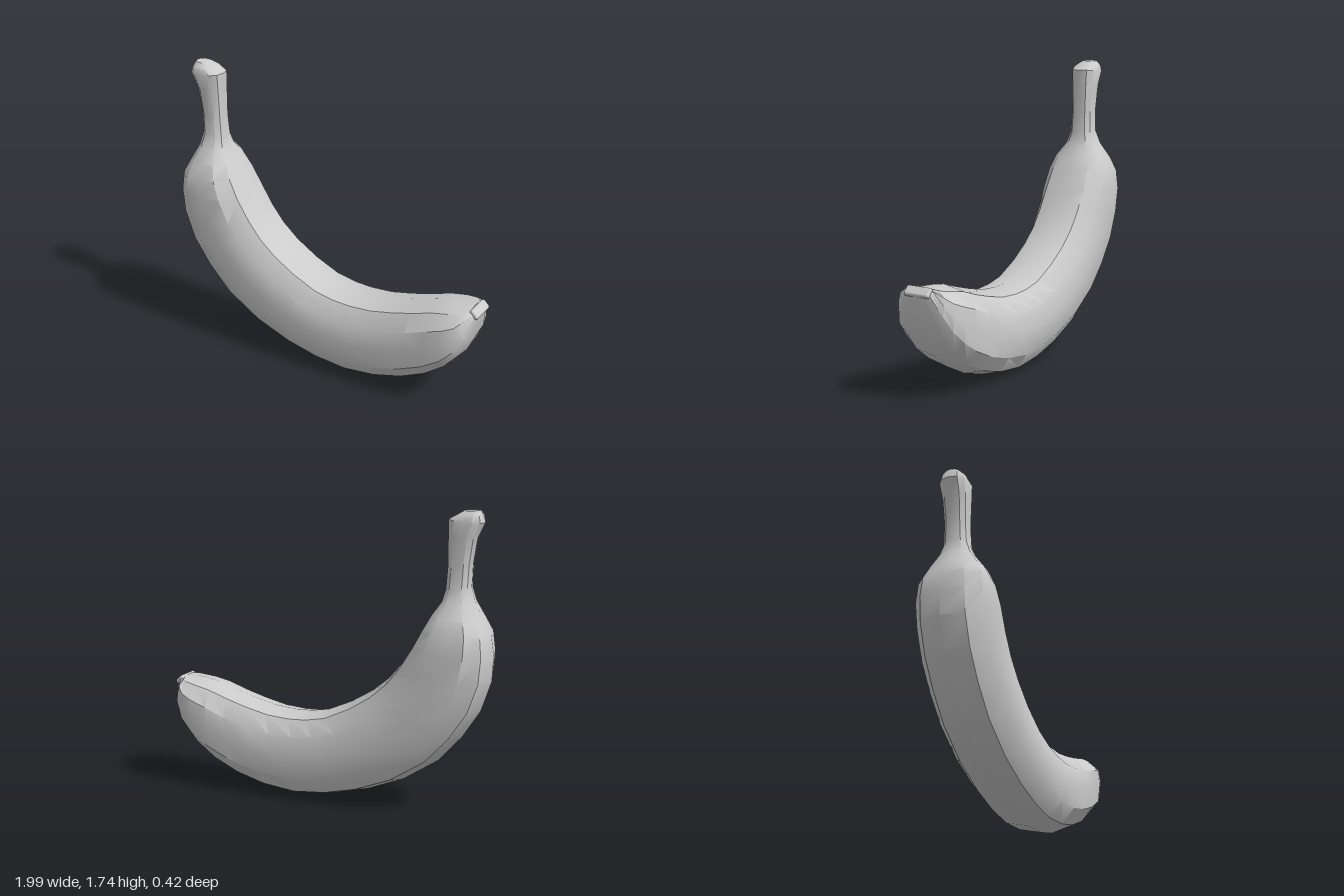
import * as THREE from 'three';
import { toCreasedNormals } from 'three/addons/utils/BufferGeometryUtils.js';
import { RoundedBoxGeometry } from 'three/addons/geometries/RoundedBoxGeometry.js';

// Stations from stem to tip: outer curve x, y, inner curve x, y, half width
const STATIONS = [
  [-0.905, 1.742, -0.81, 1.737, 0.04],
  [-0.92, 1.715, -0.765, 1.712, 0.07],
  [-0.932, 1.675, -0.725, 1.69, 0.08],
  [-0.89, 1.59, -0.726, 1.59, 0.073],
  [-0.867, 1.445, -0.726, 1.42, 0.066],
  [-0.862, 1.317, -0.718, 1.3, 0.072],
  [-0.885, 1.235, -0.7, 1.235, 0.1],
  [-0.935, 1.14, -0.648, 1.163, 0.16],
  [-0.98, 1.06, -0.6, 1.08, 0.195],
  [-0.998, 0.945, -0.54, 0.975, 0.21],
  [-0.99, 0.795, -0.456, 0.848, 0.21],
  [-0.93, 0.62, -0.376, 0.755, 0.21],
  [-0.824, 0.459, -0.28, 0.675, 0.21],
  [-0.685, 0.304, -0.147, 0.595, 0.21],
  [-0.472, 0.165, 0, 0.53, 0.21],
  [-0.248, 0.075, 0.115, 0.51, 0.21],
  [-0.045, 0.025, 0.22, 0.507, 0.21],
  [0.157, 0.004, 0.355, 0.519, 0.21],
  [0.36, 0.025, 0.488, 0.55, 0.21],
  [0.541, 0.075, 0.62, 0.587, 0.21],
  [0.7, 0.15, 0.733, 0.624, 0.21],
  [0.82, 0.24, 0.83, 0.64, 0.205],
  [0.904, 0.34, 0.893, 0.645, 0.185],
  [0.957, 0.459, 0.925, 0.648, 0.15],
  [0.987, 0.605, 0.942, 0.648, 0.08],
];

// Half section: fraction from outer to inner curve, fraction of half width
const HALF = [[0, 0], [0.07, 0.62], [0.25, 0.95], [0.5, 1], [0.75, 0.95], [0.94, 0.62], [1, 0]];
const SECTION = [...HALF, ...HALF.slice(1, -1).reverse().map(([t, w]) => [t, -w])];

function loft(stations, section) {
  const n = section.length;
  const pos = [];
  const index = [];
  for (const [ox, oy, ix, iy, w] of stations) {
    for (const [t, s] of section) pos.push(ox + (ix - ox) * t, oy + (iy - oy) * t, w * s);
  }
  for (let i = 0; i < stations.length - 1; i++) {
    for (let j = 0; j < n; j++) {
      const k = (j + 1) % n;
      const a = i * n + j, b = i * n + k, c = a + n, d = b + n;
      index.push(a, c, b, b, c, d);
    }
  }
  // End caps as fans
  const last = (stations.length - 1) * n;
  for (let j = 1; j < n - 1; j++) {
    index.push(0, j, j + 1);
    index.push(last, last + j + 1, last + j);
  }
  const geometry = new THREE.BufferGeometry();
  geometry.setAttribute('position', new THREE.Float32BufferAttribute(pos, 3));
  geometry.setIndex(index);
  return toCreasedNormals(geometry, 0.58);
}

export function createModel() {
  const group = new THREE.Group();
  group.name = 'banana';
  const material = new THREE.MeshStandardMaterial({ color: 0xcccccc });

  // Curved fruit with its stem
  const peel = new THREE.Mesh(loft(STATIONS, SECTION), material);
  peel.name = 'peelAndStem';
  group.add(peel);

  // Small flat nub closing the tip
  const nub = new THREE.Mesh(new RoundedBoxGeometry(0.03, 0.06, 0.16, 3, 0.012), material);
  nub.name = 'tipNub';
  nub.position.set(0.967, 0.625, 0);
  nub.rotation.z = Math.PI / 4;
  group.add(nub);

  return group;
}
